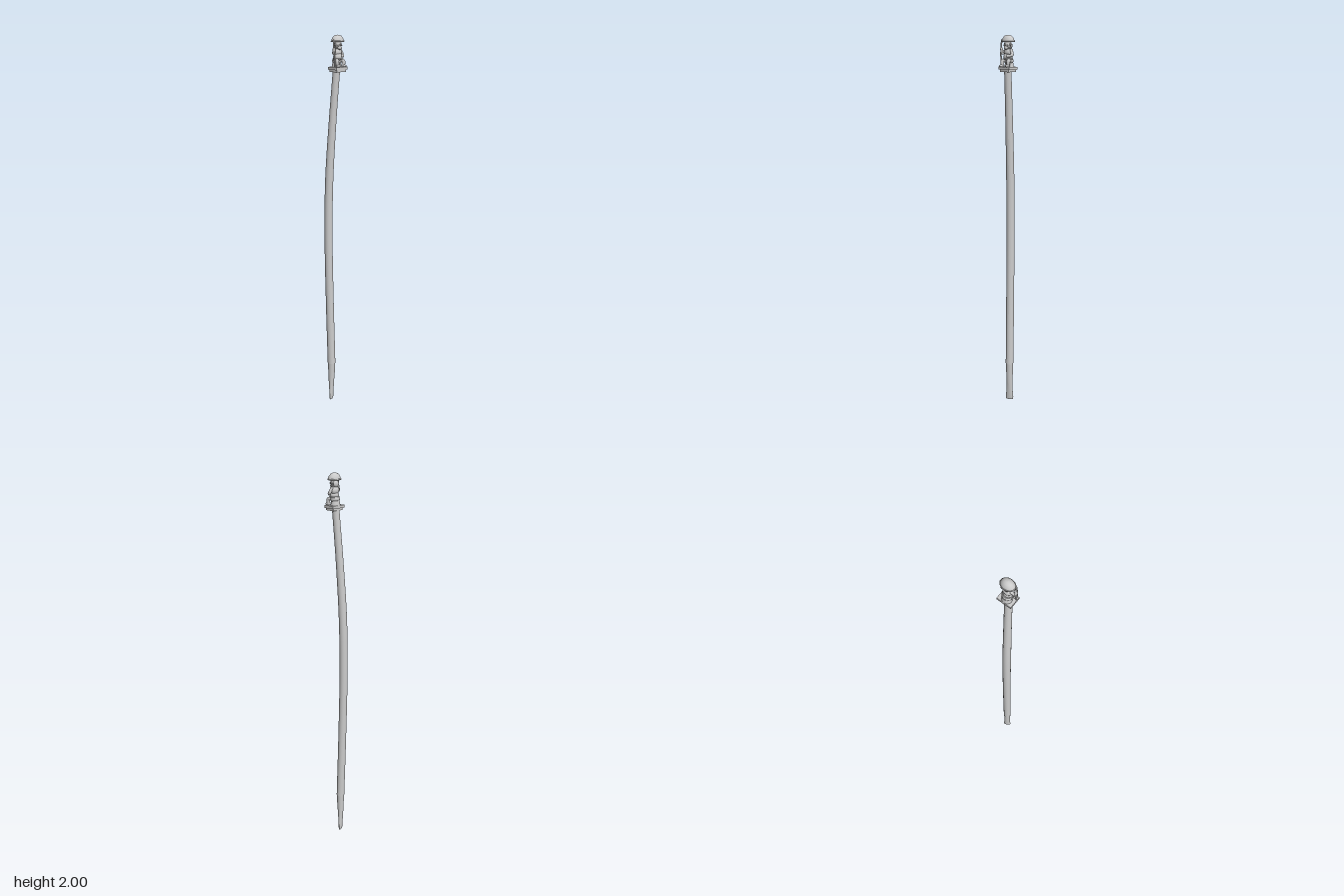
import * as THREE from 'three';

const grey = new THREE.MeshStandardMaterial({ color: 0xcccccc });

function add(parent, name, geometry, pos = [0, 0, 0], scale = [1, 1, 1], rot = [0, 0, 0]) {
  const m = new THREE.Mesh(geometry, grey);
  m.name = name;
  m.position.set(...pos);
  m.scale.set(...scale);
  m.rotation.set(...rot);
  parent.add(m);
  return m;
}

const ball = (parent, name, pos, radii) => add(parent, name, new THREE.SphereGeometry(1, 20, 14), pos, radii);

// Rounded limb through a few points
function limb(parent, name, points, r) {
  const curve = new THREE.CatmullRomCurve3(points.map(p => new THREE.Vector3(...p)));
  add(parent, name, new THREE.TubeGeometry(curve, 14, r, 10));
  for (const p of [points[0], points[points.length - 1]]) ball(parent, name + 'End', p, [r, r, r]);
}

// Closed skin over elliptical rings [y, centreX, radiusX, radiusZ], bottom to top
function loft(rings, sides = 28) {
  const first = rings[0], last = rings[rings.length - 1];
  const all = [[first[0], first[1], 0, 0], first, ...rings, last, [last[0], last[1], 0, 0]];
  const pos = [], index = [];
  all.forEach(([y, cx, rx, rz], i) => {
    for (let j = 0; j <= sides; j++) {
      const a = (j / sides) * Math.PI * 2;
      pos.push(cx + rx * Math.cos(a), y, 0.002 + rz * Math.sin(a));
      // Ring pairs 1-2 and the matching top pair are doubled to keep the end edges sharp
      if (i < all.length - 1 && j < sides && i !== 1 && i !== all.length - 3) {
        const p = i * (sides + 1) + j, q = p + sides + 1;
        index.push(p, q, p + 1, p + 1, q, q + 1);
      }
    }
  });
  const g = new THREE.BufferGeometry();
  g.setAttribute('position', new THREE.Float32BufferAttribute(pos, 3));
  g.setIndex(index);
  g.computeVertexNormals();
  return g;
}

function createFigure() {
  const f = new THREE.Group();
  f.name = 'finialFigure';

  // Stepped plinth
  add(f, 'plinth', new THREE.BoxGeometry(0.062, 0.014, 0.076), [0, 0.018, 0]);
  add(f, 'plinthFoot', new THREE.BoxGeometry(0.052, 0.012, 0.062), [0, 0.006, 0]);

  // Seat and body
  add(f, 'seat', new THREE.CylinderGeometry(0.019, 0.023, 0.024, 16), [-0.008, 0.036, 0], [1, 1, 1.1]);
  ball(f, 'hips', [-0.006, 0.055, 0], [0.021, 0.018, 0.026]);
  ball(f, 'belly', [0, 0.073, 0], [0.021, 0.022, 0.024]);
  ball(f, 'chest', [-0.003, 0.095, 0], [0.018, 0.022, 0.024]);
  add(f, 'belt', new THREE.TorusGeometry(0.021, 0.003, 8, 24), [-0.001, 0.064, 0], [1, 1.12, 1], [Math.PI / 2, 0, 0]);
  add(f, 'collar', new THREE.TorusGeometry(0.011, 0.004, 8, 20), [0, 0.116, 0], [1, 1.2, 1], [Math.PI / 2, 0, 0]);

  // Legs and shoes
  for (const s of [-1, 1]) {
    limb(f, 'leg', [[0, 0.053, s * 0.012], [0.018, 0.055, s * 0.021], [0.02, 0.03, s * 0.02]], 0.009);
    ball(f, 'shoe', [0.025, 0.03, s * 0.021], [0.014, 0.007, 0.009]);
  }

  // One arm on the belly, one raised to the staff
  limb(f, 'restingArm', [[-0.003, 0.106, -0.021], [0.002, 0.083, -0.031], [0.019, 0.078, -0.015]], 0.0075);
  limb(f, 'raisedArm', [[-0.003, 0.105, 0.02], [0.005, 0.09, 0.033], [0.011, 0.112, 0.035]], 0.0075);
  limb(f, 'smallStaff', [[0.014, 0.026, 0.033], [0.013, 0.09, 0.037], [0.008, 0.155, 0.037]], 0.0038);

  // Head
  ball(f, 'head', [0.002, 0.134, 0], [0.018, 0.021, 0.018]);
  ball(f, 'nose', [0.021, 0.134, 0], [0.005, 0.005, 0.004]);
  ball(f, 'beard', [0.014, 0.118, 0], [0.009, 0.01, 0.012]);
  ball(f, 'backHair', [-0.012, 0.128, 0], [0.01, 0.017, 0.017]);
  for (const s of [-1, 1]) {
    ball(f, 'cheek', [0.016, 0.13, s * 0.009], [0.005, 0.005, 0.005]);
    ball(f, 'ear', [0.002, 0.133, s * 0.019], [0.005, 0.007, 0.004]);
  }

  // Broad domed hat with a turned brim
  const profile = [[0, 0.148], [0.024, 0.145], [0.029, 0.148], [0.029, 0.153], [0.025, 0.165],
    [0.017, 0.175], [0.008, 0.179], [0, 0.18]].map(p => new THREE.Vector2(...p));
  add(f, 'hat', new THREE.LatheGeometry(profile, 28), [-0.001, 0, 0], [0.92, 1, 1.2]);
  add(f, 'hatBrim', new THREE.TorusGeometry(0.028, 0.004, 8, 28), [-0.001, 0.149, 0], [0.92, 1.2, 1], [Math.PI / 2, 0, 0]);
  return f;
}

export function createModel() {
  const model = new THREE.Group();

  // Gently bowed shaft
  const bow = new THREE.CatmullRomCurve3([[-0.024, 0.22], [-0.034, 0.6], [-0.04, 0.95], [-0.036, 1.25],
    [-0.018, 1.55], [0.004, 1.825]].map(([x, y]) => new THREE.Vector3(x, y, 0)));
  const rings = bow.getPoints(40).map(p => {
    const r = 0.0215 - 0.003 * THREE.MathUtils.smoothstep(p.y, 1.2, 1.82);
    return [p.y, p.x, r, r];
  });
  add(model, 'shaft', loft(rings));

  // Ferrule flattening to a flared chisel tip
  add(model, 'tip', loft([[0, -0.025, 0.007, 0.02], [0.012, -0.025, 0.009, 0.022], [0.05, -0.025, 0.011, 0.0185],
    [0.1, -0.025, 0.0145, 0.017], [0.16, -0.024, 0.018, 0.0185], [0.222, -0.024, 0.0205, 0.0205]]));

  // Carved figure, turned on the shaft
  const figure = createFigure();
  figure.position.set(0.01, 1.82, -0.001);
  figure.rotation.y = -0.47;
  model.add(figure);
  return model;
}
